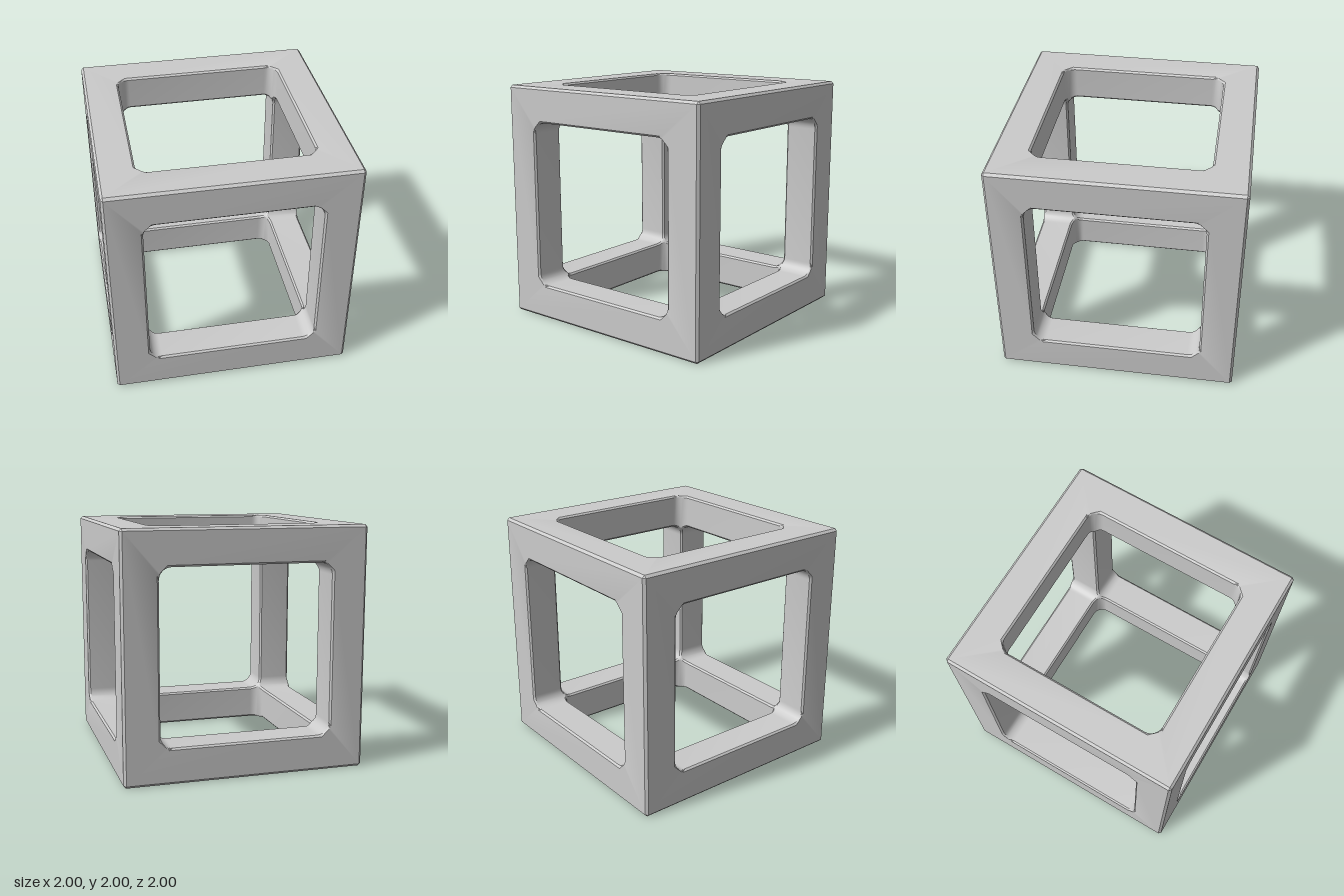
import * as THREE from 'three';
import { toCreasedNormals } from 'three/addons/utils/BufferGeometryUtils.js';

const EDGE = 0.02;    // outer chamfer
const BEVEL = 0.015;  // chamfer around the openings and along the inner edges
const HOLE = 0.705;   // half width of an opening
const RADIUS = 0.1;   // corner radius of an opening
const STEPS = 8;      // segments per rounded corner

// One corner of every loop, in the +x +y quadrant, from the outer chamfer to the inner bevel.
// side is -1 next to the x side, 0 on the diagonal, 1 next to the y side.
function cornerLoops(k, side) {
  const a = (k / STEPS) * Math.PI / 2;
  const x = HOLE - RADIUS + RADIUS * Math.cos(a);
  const y = HOLE - RADIUS + RADIUS * Math.sin(a);
  const m = Math.max(x, y);
  const t = k / STEPS, o = 1 - EDGE, h = 1 - EDGE / 2, c = 1 - EDGE * 2 / 3;
  // A point pushed outwards by half a chamfer, or to the middle of the corner triangle
  const inner = BEVEL / 2, mid = BEVEL / 3;
  return [
    side < 0 ? [h, o, h] : side > 0 ? [o, h, h] : [c, c, c],
    [o, o, 1],
    [0.72 - 0.08 * t, 0.64 + 0.08 * t, 1],
    [x, y, 1 - BEVEL],
    [x, y, m + BEVEL],
    side < 0 ? [x + inner, y, m + inner]
      : side > 0 ? [x, y + inner, m + inner]
      : [x + mid, y + mid, m + mid],
  ];
}

// One side of the cube: chamfer, flat face, opening walls and inner bevel as one loft
function faceGeometry() {
  const columns = [];
  for (let q = 0; q < 4; q++) {
    const cos = [1, 0, -1, 0][q], sin = [0, 1, 0, -1][q];
    const add = (k, side) => columns.push(cornerLoops(k, side).map(
      ([x, y, z]) => new THREE.Vector3(x * cos - y * sin, x * sin + y * cos, z)));
    for (let k = 0; k <= STEPS; k++) {
      if (k === STEPS / 2) [-1, 0, 1].forEach((side) => add(k, side));
      else add(k, Math.sign(k - STEPS / 2));
    }
  }
  const positions = [];
  const triangle = (a, b, c) => {
    if (new THREE.Triangle(a, b, c).getArea() < 1e-9) return;
    for (const p of [a, b, c]) positions.push(p.x, p.y, p.z);
  };
  columns.forEach((col, j) => {
    const next = columns[(j + 1) % columns.length];
    for (let i = 0; i < col.length - 1; i++) {
      triangle(col[i], next[i], next[i + 1]);
      triangle(col[i], next[i + 1], col[i + 1]);
    }
  });
  const geometry = new THREE.BufferGeometry();
  geometry.setAttribute('position', new THREE.Float32BufferAttribute(positions, 3));
  return toCreasedNormals(geometry, Math.PI / 7);
}

export function createModel() {
  const group = new THREE.Group();
  group.name = 'cubeFrame';
  const material = new THREE.MeshStandardMaterial({ color: 0xcccccc });
  const geometry = faceGeometry();
  const quarter = Math.PI / 2;
  const sides = [
    ['frontFrame', 0, 0], ['leftFrame', 0, quarter], ['backFrame', 0, Math.PI],
    ['rightFrame', 0, -quarter], ['topFrame', -quarter, 0], ['bottomFrame', quarter, 0],
  ];
  for (const [name, rx, ry] of sides) {
    const mesh = new THREE.Mesh(geometry, material);
    mesh.name = name;
    mesh.rotation.set(rx, ry, 0);
    mesh.position.y = 1;
    group.add(mesh);
  }
  return group;
}
